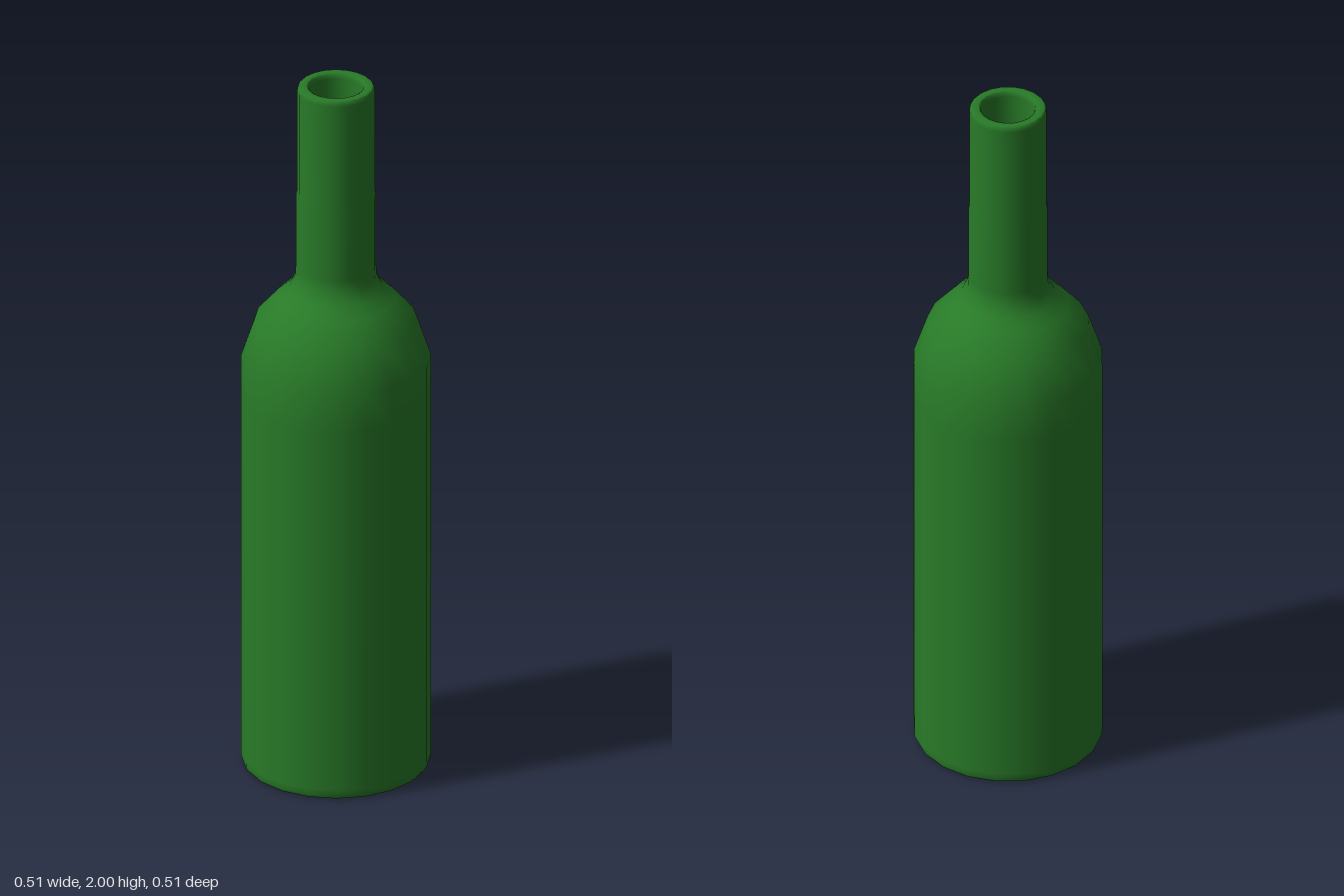
import * as THREE from 'three';

const SIDES = 20;
const glass = new THREE.MeshStandardMaterial({ color: 0x287a28 });

// Revolve a list of [radius, height] pairs around the y axis
function revolve(name, profile) {
  const points = profile.map(([r, y]) => new THREE.Vector2(r, y));
  const mesh = new THREE.Mesh(new THREE.LatheGeometry(points, SIDES), glass);
  mesh.name = name;
  return mesh;
}

export function createModel() {
  const group = new THREE.Group();
  group.name = 'bottle';

  // Underside: shallow recess, then the foot ring
  const underside = [
    [0, 0.03], [0.115, 0.03], [0.13, 0.027], [0.16, 0.004], [0.175, 0], [0.238, 0],
  ];
  // Outer wall: body, rounded shoulder, long neck
  const outside = [
    [0.248, 0.003], [0.253, 0.012], [0.254, 0.03], [0.254, 1.09], [0.254, 1.2],
    [0.217, 1.31], [0.16, 1.375], [0.125, 1.405], [0.109, 1.44], [0.107, 1.47],
    [0.107, 1.68], [0.104, 1.69], [0.104, 1.985], [0.102, 1.996],
  ];
  // Rim and hollow inside
  const inside = [
    [0.097, 2], [0.08, 2], [0.075, 1.997], [0.072, 1.985], [0.072, 1.46],
    [0.095, 1.4], [0.14, 1.35], [0.19, 1.29], [0.224, 1.19], [0.224, 0.08],
    [0.2, 0.06], [0, 0.06],
  ];
  group.add(revolve('bottleGlass', [...underside, ...outside, ...inside]));
  return group;
}
